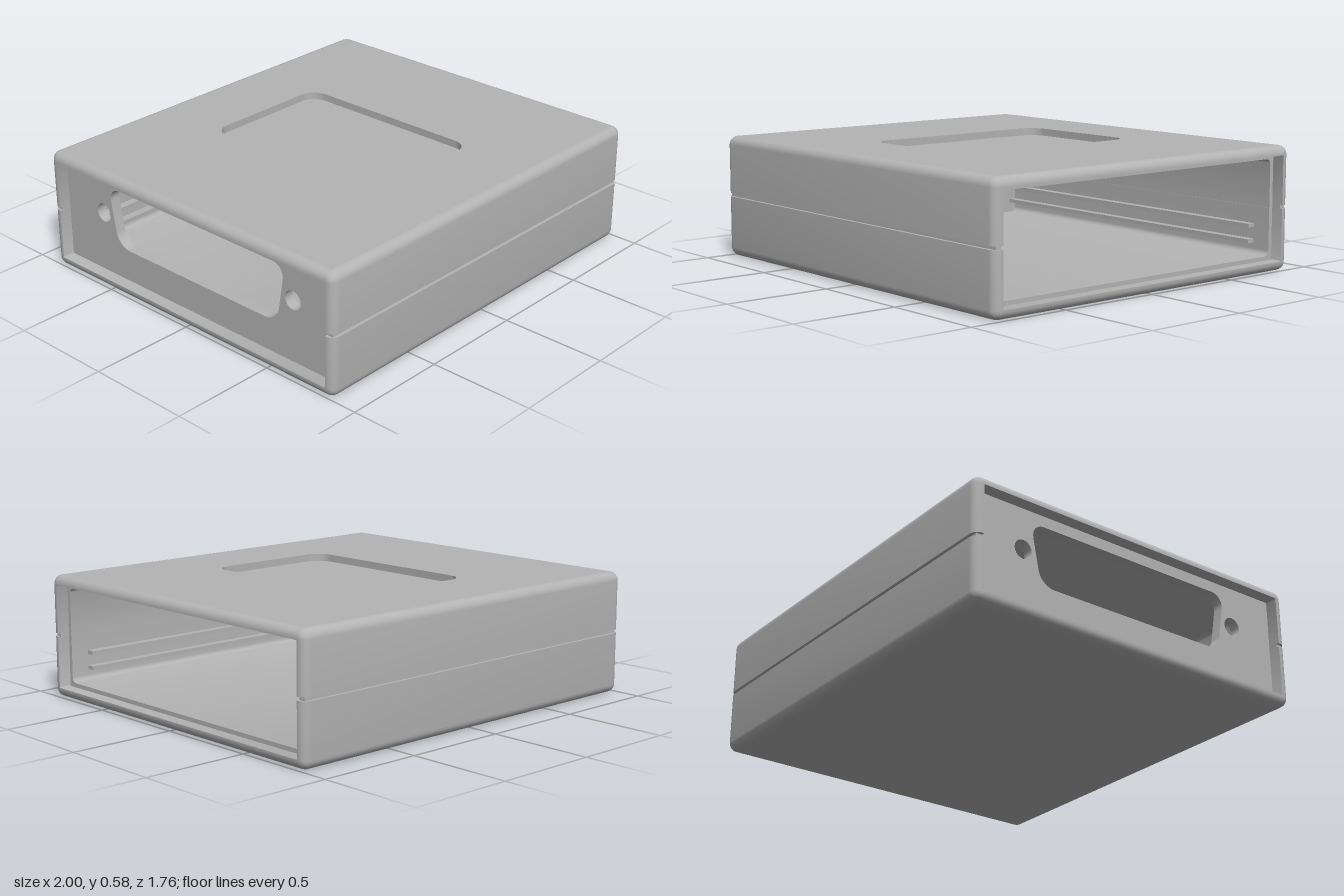
import * as THREE from 'three';
import { toCreasedNormals } from 'three/addons/utils/BufferGeometryUtils.js';

const H = 0.58, D = 0.88, R = 0.04;   // height, half depth, edge radius
const STEPS = 6;
const plastic = new THREE.MeshStandardMaterial({ color: 0xb4b4b4, side: THREE.DoubleSide });
plastic.name = 'grey plastic';

// Wall loop along x: [x, inset from the outer box, corner radius]
function wallLoop() {
  const loop = [];
  for (let i = STEPS; i >= 0; i--) {
    const t = (i / STEPS) * Math.PI / 2;
    loop.push([-1 + R - R * Math.sin(t), R * (1 - Math.cos(t)), R * Math.cos(t) + 0.002]);
  }
  for (let i = 0; i <= STEPS; i++) {
    const t = (i / STEPS) * Math.PI / 2;
    loop.push([1 - R + R * Math.sin(t), R * (1 - Math.cos(t)), R * Math.cos(t) + 0.002]);
  }
  // end recess and cavity
  loop.push([1, 0.045, 0.004], [0.94, 0.045, 0.004], [0.94, 0.065, 0.025],
    [-0.94, 0.065, 0.025], [-0.94, 0.045, 0.004], [-1, 0.045, 0.004]);
  return loop;
}

// U-shaped cross-section running down one wall, across the floor and up the other
function section([x, inset, r], split) {
  const w = D - inset, pts = [[x, split, w]];
  for (let side = 0; side < 2; side++) {
    for (let i = 0; i <= STEPS; i++) {
      const a = ((side * STEPS + i) / STEPS) * Math.PI / 2;
      const cz = side ? -(w - r) : w - r;
      pts.push([x, inset + r - r * Math.sin(a), cz + r * Math.cos(a)]);
    }
  }
  pts.push([x, split, -w]);
  return pts;
}

// One half of the case; the upper one is flipped and leaves its flat top open
function halfShell(split, upper) {
  const loop = wallLoop(), rings = loop.map(s => section(s, split)), pos = [];
  const put = p => pos.push(p[0], upper ? H - p[1] : p[1], p[2]);
  const tri = (a, b, c) => (upper ? [a, c, b] : [a, b, c]).forEach(put);
  rings.forEach((a, i) => {
    const b = rings[(i + 1) % rings.length];
    for (let j = 0; j < a.length - 1; j++) {
      if (upper && i === STEPS && j === STEPS + 1) continue;
      tri(a[j], a[j + 1], b[j + 1]);
      tri(a[j], b[j + 1], b[j]);
    }
  });
  // rims along the parting line
  for (const s of [1, -1]) {
    const outline = loop.map(([x, inset]) => new THREE.Vector2(x, s * (D - inset)));
    const rim = new THREE.ShapeGeometry(new THREE.Shape(outline)).toNonIndexed();
    const p = rim.attributes.position;
    for (let i = 0; i < p.count; i += 3) {
      const v = [0, 1, 2].map(k => [p.getX(i + k), split, p.getY(i + k)]);
      tri(v[0], v[2], v[1]);
    }
  }
  const geo = new THREE.BufferGeometry();
  geo.setAttribute('position', new THREE.Float32BufferAttribute(pos, 3));
  return toCreasedNormals(geo, 0.6);
}

// Closed outline with softened corners
function roundedPoly(points, r, Type = THREE.Shape) {
  const v = points.map(p => new THREE.Vector2(...p)), out = new Type(), n = v.length;
  v.forEach((p, i) => {
    const toward = q => p.clone().add(q.clone().sub(p).setLength(r));
    const a = toward(v[(i + n - 1) % n]), b = toward(v[(i + 1) % n]);
    if (i) out.lineTo(a.x, a.y); else out.moveTo(a.x, a.y);
    const k = 0.552;
    const c1 = a.clone().lerp(p, k), c2 = b.clone().lerp(p, k);
    out.bezierCurveTo(c1.x, c1.y, c2.x, c2.y, b.x, b.y);
  });
  out.closePath();
  return out;
}
const rect = (x0, y0, x1, y1) => [[x0, y0], [x1, y0], [x1, y1], [x0, y1]];

export function createModel() {
  const group = new THREE.Group();
  const add = (name, geo, x = 0, y = 0, z = 0) => {
    const m = new THREE.Mesh(geo, plastic);
    m.name = name;
    m.position.set(x, y, z);
    group.add(m);
    return m;
  };

  add('lowerShell', halfShell(0.289, false));
  add('upperShell', halfShell(H - 0.305, true));

  // Inset tongue seen inside the parting groove
  for (const s of [1, -1]) {
    add('seamTongue', new THREE.BoxGeometry(1.88, 0.03, 0.048), 0, 0.297, s * 0.841);
    for (const e of [1, -1])
      add('seamTongueEnd', new THREE.BoxGeometry(0.05, 0.03, 0.028), e * 0.96, 0.297, s * 0.85);
  }

  // Flat top with a shallow label recess
  const labelRect = rect(-0.335, -0.49, 0.335, 0.49);
  const top = new THREE.Shape(rect(-1 + R, -D + R, 1 - R, D - R).map(p => new THREE.Vector2(...p)));
  top.holes.push(roundedPoly(labelRect, 0.08, THREE.Path));
  add('topFace', new THREE.ShapeGeometry(top, 8).rotateX(-Math.PI / 2), 0, H, 0);
  const label = roundedPoly(labelRect, 0.08);
  add('labelRecessFloor', new THREE.ShapeGeometry(label, 8).rotateX(-Math.PI / 2), 0, H - 0.035, 0);
  const edge = label.getPoints(8), wall = [];
  edge.forEach((a, i) => {
    const b = edge[(i + 1) % edge.length], y0 = H - 0.035;
    wall.push(a.x, y0, -a.y, a.x, H, -a.y, b.x, H, -b.y, a.x, y0, -a.y, b.x, H, -b.y, b.x, y0, -b.y);
  });
  const wallGeo = new THREE.BufferGeometry();
  wallGeo.setAttribute('position', new THREE.Float32BufferAttribute(wall, 3));
  add('labelRecessWall', toCreasedNormals(wallGeo, 0.6));

  // Connector panel: outer plate with cutouts, inner plate framing a pocket
  const plate = (name, holes, depth, x) => {
    const s = roundedPoly(rect(-0.815, 0.065, 0.815, 0.515), 0.02);
    s.holes.push(...holes);
    const geo = new THREE.ExtrudeGeometry(s, { depth, bevelEnabled: false, curveSegments: 10 });
    add(name, toCreasedNormals(geo.rotateY(-Math.PI / 2), 0.6), x);
  };
  const cutouts = [roundedPoly([[-0.498, 0.2], [0.506, 0.2], [0.555, 0.483], [-0.548, 0.483]], 0.07, THREE.Path)];
  for (const z of [0.6, -0.59]) cutouts.push(new THREE.Path().absarc(z, 0.34, 0.045, 0, Math.PI * 2));
  plate('connectorPanel', cutouts, 0.05, -0.89);
  plate('panelPocketFrame', [new THREE.Path(rect(-0.695, 0.165, 0.695, 0.512).map(p => new THREE.Vector2(...p)))], 0.04, -0.85);

  // Board guide rails on both inner walls
  for (const s of [1, -1])
    for (const y of [0.125, 0.198])
      add('guideRail', new THREE.BoxGeometry(1.7, 0.018, 0.043), 0, y, s * 0.798);

  return group;
}
